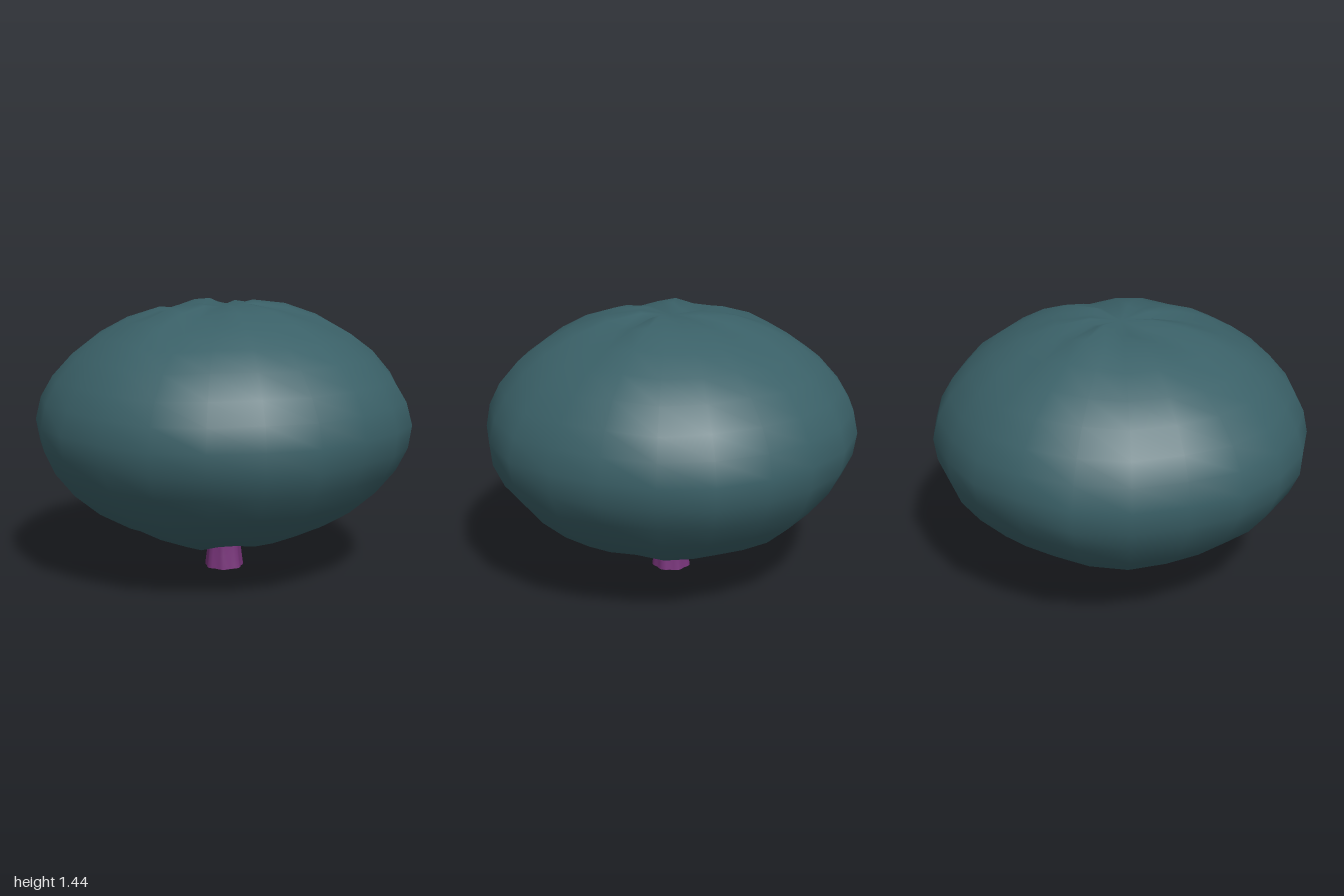
import * as THREE from 'three';
import { mergeVertices } from 'three/addons/utils/BufferGeometryUtils.js';

const leafMaterial = new THREE.MeshStandardMaterial({ color: 0x3a6067 });
const barkMaterial = new THREE.MeshStandardMaterial({ color: 0x78347a });

// Lathe a profile (bottom to top), move its points by a rule, weld and smooth it
function lumpyLathe(profile, segments, move) {
  const lathe = new THREE.LatheGeometry(profile.map(([r, y]) => new THREE.Vector2(r, y)), segments);
  lathe.deleteAttribute('uv');
  lathe.deleteAttribute('normal');
  const pos = lathe.attributes.position;
  const p = new THREE.Vector3();
  for (let i = 0; i < pos.count; i++) {
    p.fromBufferAttribute(pos, i);
    move(p, Math.hypot(p.x, p.z), Math.atan2(p.x, p.z));
    pos.setXYZ(i, p.x, p.y, p.z);
  }
  const geometry = mergeVertices(lathe, 1e-4);
  geometry.computeVertexNormals();
  return geometry;
}

function createCrown() {
  // Squashed ball, slightly dimpled at both poles
  const profile = [
    [0, 0.19], [0.13, 0.165], [0.33, 0.19], [0.52, 0.255], [0.68, 0.345], [0.81, 0.455],
    [0.91, 0.58], [0.965, 0.70], [0.98, 0.82], [0.95, 0.94], [0.89, 1.05], [0.79, 1.165],
    [0.67, 1.255], [0.52, 1.335], [0.34, 1.395], [0.16, 1.42], [0, 1.405],
  ];
  const geometry = lumpyLathe(profile, 22, (p, r, a) => {
    // Gentle lumps around the sides
    const lump = 1 + 0.008 * Math.sin(5 * a + 4 * p.y) + 0.006 * Math.sin(9 * a - 7 * p.y);
    p.x *= lump;
    p.z *= lump * 1.008;
    // Radiating folds near the poles
    const fold = Math.min(1, r / 0.2) * (1 - 0.75 * r);
    p.y += 0.018 * fold * (Math.sin(7 * a + 1) + 0.6 * Math.sin(4 * a + 2));
    // One deeper crease in the top
    if (p.y > 1.3) p.y -= 0.045 * Math.exp(-(((p.x + 0.12) / 0.09) ** 2) - ((p.z - 0.13) / 0.1) ** 2);
  });
  const crown = new THREE.Mesh(geometry, leafMaterial);
  crown.name = 'crown';
  return crown;
}

function createTrunk() {
  // Short fluted trunk, flared at the foot
  const profile = [[0, 0], [0.105, 0], [0.105, 0.001], [0.096, 0.07], [0.088, 0.15], [0.084, 0.25], [0, 0.25]];
  const geometry = lumpyLathe(profile, 28, (p, r, a) => {
    const flute = 0.95 + 0.06 * Math.cos(7 * a);
    p.x *= flute;
    p.z *= flute;
  });
  const trunk = new THREE.Mesh(geometry, barkMaterial);
  trunk.name = 'trunk';
  return trunk;
}

export function createModel() {
  const tree = new THREE.Group();
  tree.name = 'roundTree';
  tree.add(createCrown(), createTrunk());
  return tree;
}
